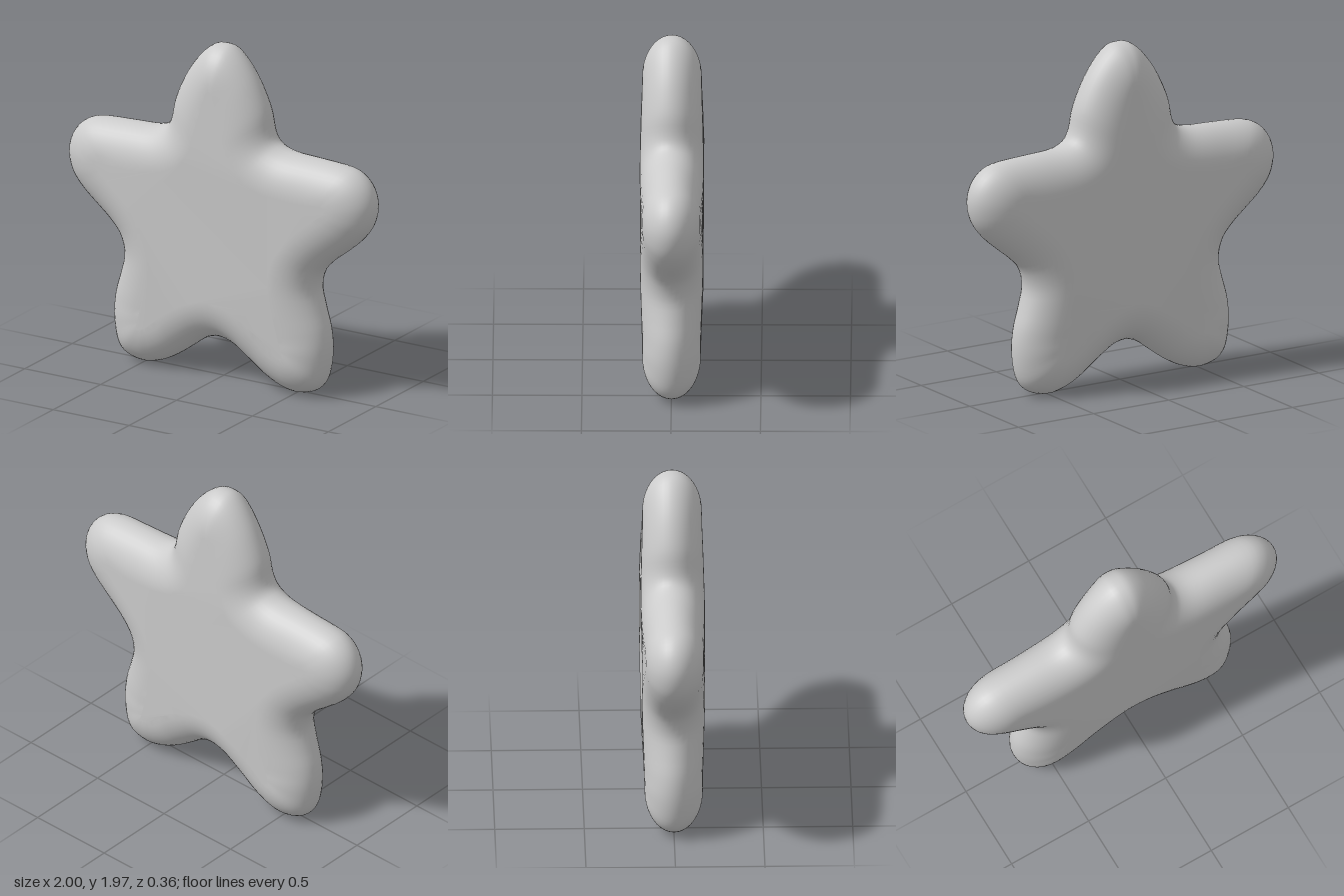
import * as THREE from 'three';

// Right half of the outline, top tip to bottom notch: x, y, then the point on the arm's spine it rounds towards
const HALF = [
  [0, 1.97, 0, 1.64], [0.06, 1.958, 0, 1.63], [0.13, 1.9, 0, 1.61], [0.2, 1.81, 0, 1.57],
  [0.255, 1.71, 0, 1.5], [0.295, 1.61, 0, 1.42], [0.315, 1.51, 0.02, 1.32], [0.34, 1.455, 0.06, 1.2],
  [0.385, 1.425, 0.16, 1.12], [0.46, 1.408, 0.32, 1.1], [0.6, 1.402, 0.52, 1.12], [0.8, 1.39, 0.68, 1.16],
  [0.9, 1.358, 0.71, 1.16], [0.97, 1.285, 0.72, 1.16], [1.0, 1.18, 0.72, 1.15], [0.975, 1.06, 0.71, 1.14],
  [0.9, 0.96, 0.68, 1.13], [0.8, 0.875, 0.6, 1.1], [0.72, 0.81, 0.46, 1.0], [0.655, 0.735, 0.34, 0.85],
  [0.63, 0.63, 0.32, 0.68], [0.655, 0.52, 0.36, 0.5], [0.69, 0.4, 0.41, 0.36], [0.702, 0.28, 0.44, 0.3],
  [0.69, 0.16, 0.44, 0.285], [0.66, 0.075, 0.44, 0.28], [0.6, 0.025, 0.44, 0.28], [0.5, 0.004, 0.43, 0.28],
  [0.4, 0.025, 0.41, 0.29], [0.3, 0.075, 0.36, 0.33], [0.2, 0.145, 0.28, 0.42], [0.1, 0.215, 0.13, 0.52],
  [0, 0.24, 0, 0.56],
];
const DEPTH = 0.24;     // how far the rounded rim reaches inwards
const SEGMENTS = 200;   // points around the outline
const RINGS = 20;       // steps across the rim, front to back

function closedCurve(rows, ix) {
  const points = rows.map((r) => new THREE.Vector3(r[ix], r[ix + 1], 0));
  return new THREE.CatmullRomCurve3(points, true, 'catmullrom', 0.5);
}

function starGeometry() {
  const mirrored = HALF.slice(1, -1).reverse().map(([x, y, tx, ty]) => [-x, y, -tx, ty]);
  const rows = [...HALF, ...mirrored];
  const outline = closedCurve(rows, 0), spine = closedCurve(rows, 2);
  const positions = [], index = [];

  // Rounded rim: each ring follows the outline, drawn in by a quarter ellipse on either side
  for (let j = 0; j <= RINGS; j++) {
    const angle = Math.PI * (0.5 - j / RINGS);
    for (let i = 0; i < SEGMENTS; i++) {
      const p = outline.getPoint(i / SEGMENTS), target = spine.getPoint(i / SEGMENTS);
      const distance = p.distanceTo(target);
      const depth = Math.min(DEPTH, distance * 0.88);
      p.lerp(target, depth * (1 - Math.cos(angle)) / distance);
      const thickness = 0.181 - 0.018 * Math.min(1, Math.hypot(target.x, target.y - 0.95) / 0.75) ** 2;
      positions.push(p.x, p.y, thickness * Math.sin(angle));
    }
  }
  for (let j = 0; j < RINGS; j++) {
    for (let i = 0; i < SEGMENTS; i++) {
      const a = j * SEGMENTS + i, b = j * SEGMENTS + (i + 1) % SEGMENTS;
      index.push(a, b, a + SEGMENTS, b, b + SEGMENTS, a + SEGMENTS);
    }
  }

  // Flat front and back faces fill the innermost rings
  const contour = [];
  for (let i = SEGMENTS - 1; i >= 0; i--) contour.push(new THREE.Vector2(positions[i * 3], positions[i * 3 + 1]));
  const back = RINGS * SEGMENTS;
  for (const face of THREE.ShapeUtils.triangulateShape(contour, [])) {
    const [a, b, c] = face.map((k) => SEGMENTS - 1 - k);
    index.push(a, b, c, back + a, back + c, back + b);
  }

  const geometry = new THREE.BufferGeometry();
  geometry.setAttribute('position', new THREE.Float32BufferAttribute(positions, 3));
  geometry.setIndex(index);
  geometry.computeVertexNormals();
  return geometry;
}

export function createModel() {
  const group = new THREE.Group();
  group.name = 'roundedStar';
  const star = new THREE.Mesh(starGeometry(), new THREE.MeshStandardMaterial({ color: 0xcccccc }));
  star.name = 'starBody';
  group.add(star);
  return group;
}
